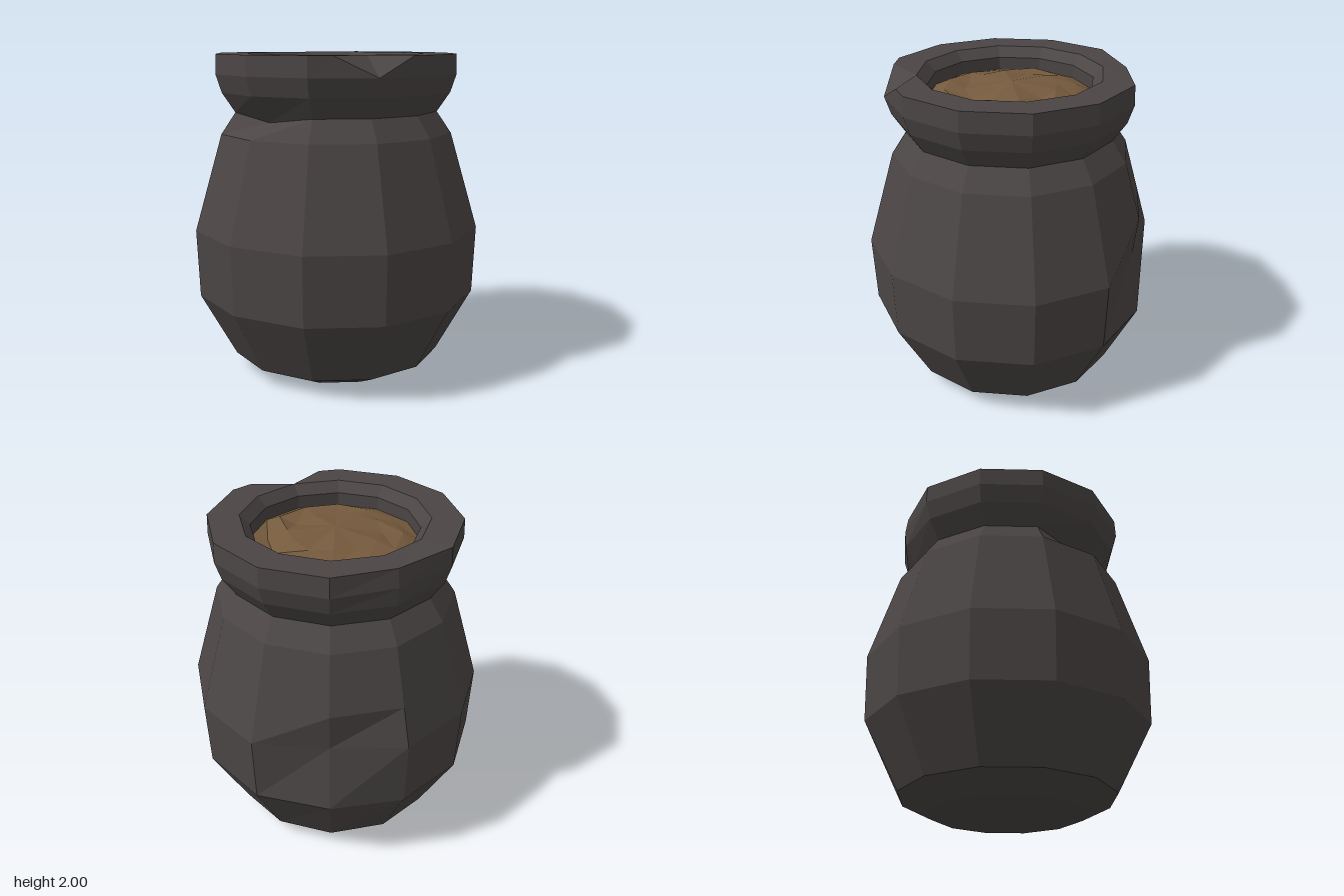
import * as THREE from 'three';

const SIDES = 12;

// Point on a ring: index 0 faces the front, turning towards +x
const ringPoint = (r, y, i) => {
  const a = (i / SIDES) * Math.PI * 2;
  return [r * Math.sin(a), y, r * Math.cos(a)];
};

// Flat-faceted skin over rings of points; skip(j, i) leaves a quad open
function facetedSkin(pointAt, rings, skip = () => false, extraQuads = []) {
  const pos = [];
  const tri = (...pts) => pts.forEach((p) => pos.push(...p));
  const quad = (a, b, c, d) => { tri(a, b, c); tri(a, c, d); };
  for (let j = 0; j < rings - 1; j++) {
    for (let i = 0; i < SIDES; i++) {
      if (skip(j, i)) continue;
      const n = (i + 1) % SIDES;
      quad(pointAt(j, i), pointAt(j, n), pointAt(j + 1, n), pointAt(j + 1, i));
    }
  }
  extraQuads.forEach((f) => (f.length === 4 ? quad(...f) : tri(...f)));
  const g = new THREE.BufferGeometry();
  g.setAttribute('position', new THREE.Float32BufferAttribute(pos, 3));
  g.computeVertexNormals();
  return g;
}

export function createModel() {
  const group = new THREE.Group();
  group.name = 'pot';
  const clay = new THREE.MeshStandardMaterial({ color: 0x4b4645 });
  clay.name = 'dark clay';
  const filling = new THREE.MeshStandardMaterial({ color: 0x755a3d });
  filling.name = 'brown filling';

  // Pot wall: radius and height, from the base centre over the rim to the inside
  const profile = [
    [0, 0], [0.48, 0.005], [0.67, 0.1], [0.89, 0.51], [0.905, 0.93], [0.834, 1.17],
    [0.73, 1.52], [0.64, 1.65], [0.72, 1.77], [0.755, 1.88], [0.75, 2],
    [0.56, 2], [0.5, 1.94], [0.5, 1.78],
  ];
  // Dents, as ring-side: radius and height
  const dents = {
    '3-5': [0.87, 0.51], '4-5': [0.81, 0.93], // hollow in the belly
    '7-10': [0.575, 1.61], // nick in the neck
    '8-6': [0.71, 1.77], '9-6': [0.72, 1.88], '10-6': [0.705, 1.99], // worn back of the rim
  };
  const wall = (j, i) => ringPoint(...(dents[`${j}-${i}`] ?? profile[j]), i);

  // Chip in the front of the rim
  const [LOW, TOP, IN] = [9, 10, 11];
  const right = [0.24, 2, 0.685];
  const left = [-0.24, 2, 0.685];
  const last = SIDES - 1;
  const chip = [
    [wall(LOW, 0), wall(LOW, 1), wall(TOP, 1), right],
    [wall(LOW, last), wall(LOW, 0), left, wall(TOP, last)],
    [right, wall(TOP, 1), wall(IN, 1), wall(IN, 0)],
    [wall(TOP, last), left, wall(IN, 0), wall(IN, last)],
    [wall(LOW, 0), right, wall(IN, 0)],
    [wall(LOW, 0), wall(IN, 0), left],
  ];
  const atChip = (j, i) => (j === LOW || j === TOP) && (i === 0 || i === last);
  const pot = new THREE.Mesh(facetedSkin(wall, profile.length, atChip, chip), clay);
  pot.name = 'potWall';
  group.add(pot);

  // Lumpy filling: a low mound with uneven heights round each ring
  const mound = [[0.5, 1.86], [0.4, 1.895], [0.28, 1.9], [0, 1.94]];
  const lumps = [
    [0, 0, 0, 0, 0, 0, 0, 0, 0, 0, 0, 0],
    [0.01, 0.01, -0.05, -0.04, 0.01, -0.01, 0, 0, 0.01, -0.01, 0, 0.01],
    [0, -0.02, 0.01, 0.02, 0, 0.02, 0.01, 0.02, 0, 0.02, 0.01, -0.01],
    [0, 0, 0, 0, 0, 0, 0, 0, 0, 0, 0, 0],
  ];
  const heap = (j, i) => ringPoint(mound[j][0], mound[j][1] + lumps[j][i], i);
  const contents = new THREE.Mesh(facetedSkin(heap, mound.length), filling);
  contents.name = 'filling';
  group.add(contents);

  return group;
}
